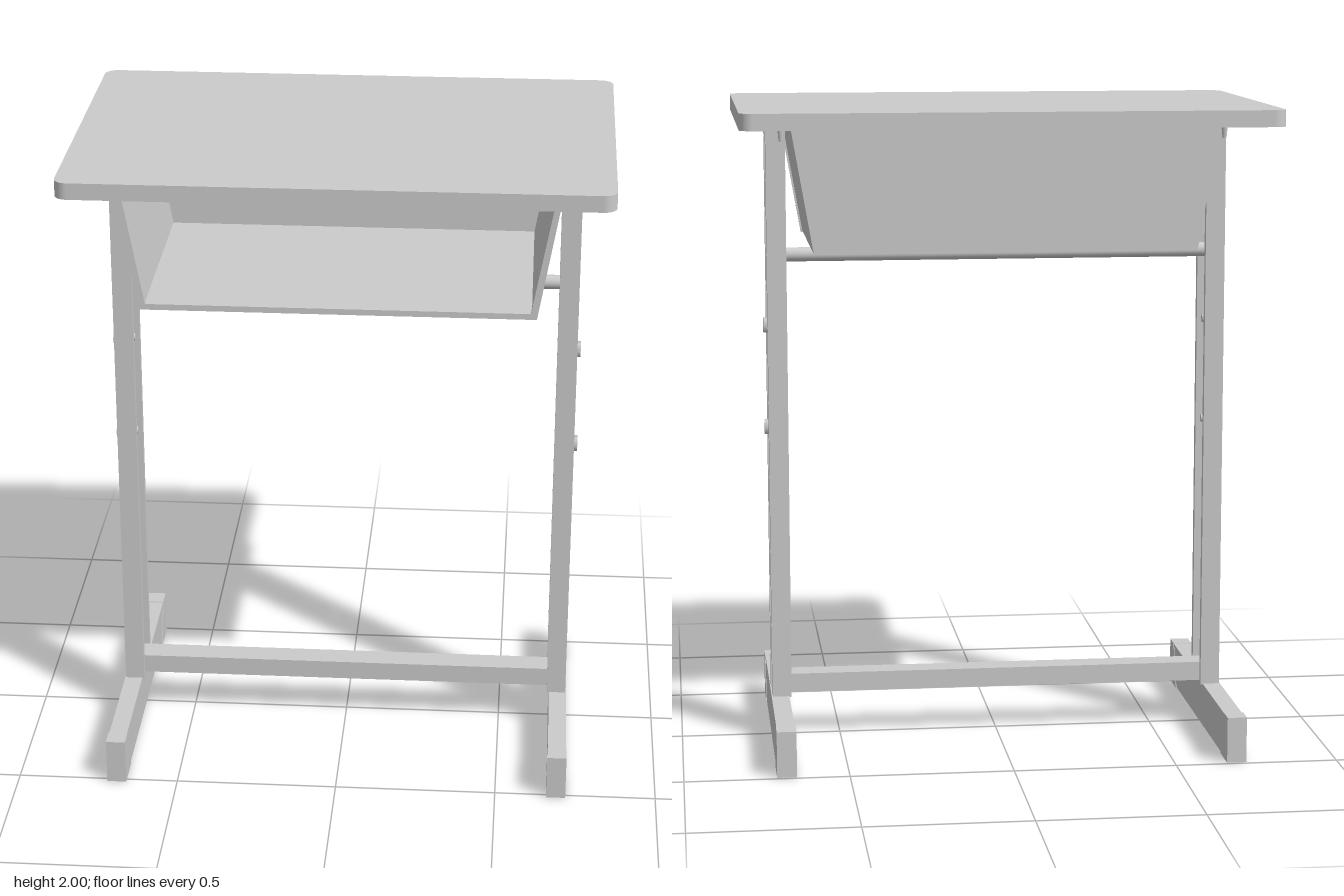
import * as THREE from 'three';

const material = new THREE.MeshStandardMaterial({ color: 0xcccccc });
const POST_Z = 0.015; // centre line of the posts and rails

function add(parent, name, geometry, x = 0, y = 0, z = 0) {
  const mesh = new THREE.Mesh(geometry, material);
  mesh.name = name;
  mesh.position.set(x, y, z);
  parent.add(mesh);
  return mesh;
}

const box = (w, h, d) => new THREE.BoxGeometry(w, h, d);
const polygon = (points) => new THREE.Shape(points.map(([x, y]) => new THREE.Vector2(x, y)));
const extrude = (shape, depth) =>
  new THREE.ExtrudeGeometry(shape, { depth, bevelEnabled: false, curveSegments: 8 });

// Extrudes a (z, y) outline along x, centred on x = 0
const extrudeSide = (shape, width) => extrude(shape, width).translate(0, 0, -width / 2).rotateY(-Math.PI / 2);

// Board with rounded corners lying in the xz plane
function roundedBoard(hx, hz, r, thickness) {
  const s = new THREE.Shape();
  s.absarc(hx - r, hz - r, r, 0, Math.PI / 2);
  s.absarc(-hx + r, hz - r, r, Math.PI / 2, Math.PI);
  s.absarc(-hx + r, -hz + r, r, Math.PI, Math.PI * 1.5);
  s.absarc(hx - r, -hz + r, r, Math.PI * 1.5, Math.PI * 2);
  return extrude(s, thickness).rotateX(-Math.PI / 2);
}

// Book tray: tapered trough open at the front, with a rim around the mouth
function buildTray() {
  const tray = new THREE.Group();
  tray.name = 'bookTray';
  const trough = (top, bottom, low, wall) => polygon([
    [-top, 1.95], [-bottom, low], [bottom, low], [top, 1.95],
    [top - wall, 1.95], [bottom - wall, low + wall], [-bottom + wall, low + wall], [-top + wall, 1.95],
  ]);
  add(tray, 'trayWalls', extrude(trough(0.65, 0.583, 1.565, 0.01), 0.7), 0, 0, -0.31);
  add(tray, 'trayRim', extrude(trough(0.656, 0.588, 1.56, 0.018), 0.014), 0, 0, 0.386);
  const back = polygon([[-0.65, 1.95], [-0.583, 1.565], [0.583, 1.565], [0.65, 1.95]]);
  add(tray, 'trayBack', extrude(back, 0.01), 0, 0, -0.31);
  add(tray, 'trayFlange', roundedBoard(0.7, 0.385, 0.04, 0.004), 0, 1.947, 0);
  for (const x of [-0.675, 0.675]) {
    for (const z of [-0.24, 0.24]) {
      add(tray, 'trayScrewHead', new THREE.CylinderGeometry(0.016, 0.012, 0.016, 12), x, 1.939, z);
      add(tray, 'trayScrew', new THREE.CylinderGeometry(0.01, 0.006, 0.036, 12), x, 1.916, z);
    }
  }
  return tray;
}

// Post: channel open towards the middle, with a perforated outer wall
function buildPost(side) {
  const post = new THREE.Group();
  post.name = side > 0 ? 'leftPost' : 'rightPost';
  const y0 = 0.135, y1 = 1.95, h = y1 - y0, cy = (y0 + y1) / 2;

  const web = polygon([[-0.08, y0], [0.08, y0], [0.08, y1], [-0.08, y1]]);
  for (let i = 0; i < 6; i++) {
    const hole = new THREE.Path();
    hole.absarc(0, 0.99 + i * 0.08, 0.017, 0, Math.PI * 2, true);
    web.holes.push(hole);
  }
  add(post, 'postWeb', extrudeSide(web, 0.01), side * 0.706, 0, POST_Z);

  for (const e of [-1, 1]) {
    add(post, 'postStrip', box(0.005, h, 0.04), side * 0.7125, cy, POST_Z + e * 0.06);
    add(post, 'postFlange', box(0.06, h, 0.01), side * 0.685, cy, POST_Z + e * 0.075);
    add(post, 'postLip', box(0.008, h, 0.016), side * 0.659, cy, POST_Z + e * 0.067);
  }

  // Bolts that lock the height
  for (const y of [0.99, 1.31]) {
    const rod = (r, len, n) => new THREE.CylinderGeometry(r, r, len, n).rotateZ(Math.PI / 2);
    add(post, 'boltHead', rod(0.025, 0.016, 6), side * 0.718, y, POST_Z);
    add(post, 'boltShank', rod(0.012, 0.06, 12), side * 0.69, y, POST_Z);
    add(post, 'boltNut', rod(0.022, 0.016, 6), side * 0.692, y, POST_Z);
  }
  return post;
}

// Foot: long bar with slanted end caps
function buildFoot(side) {
  const foot = new THREE.Group();
  foot.name = side > 0 ? 'leftFoot' : 'rightFoot';
  const x = side * 0.69;
  add(foot, 'footBar', box(0.056, 0.135, 0.96), x, 0.0705, 0.0125);
  const frontCap = polygon([[0.4, 0], [0.515, 0], [0.515, 0.142], [0.455, 0.142]]);
  const backCap = polygon([[-0.49, 0], [-0.38, 0], [-0.43, 0.142], [-0.49, 0.142]]);
  add(foot, 'frontCap', extrudeSide(frontCap, 0.06), x);
  add(foot, 'backCap', extrudeSide(backCap, 0.06), x);
  return foot;
}

export function createModel() {
  const model = new THREE.Group();
  model.name = 'schoolDesk';

  add(model, 'tabletop', roundedBoard(0.807, 0.54, 0.04, 0.05), 0, 1.95, 0);
  model.add(buildTray());

  for (const side of [-1, 1]) model.add(buildPost(side), buildFoot(side));

  // Rails joining the two posts
  add(model, 'lowerRail', box(1.4, 0.06, 0.08), 0, 0.17, POST_Z);
  add(model, 'upperRail', new THREE.CylinderGeometry(0.022, 0.022, 1.4, 24).rotateZ(Math.PI / 2), 0, 1.53, POST_Z);

  return model;
}
